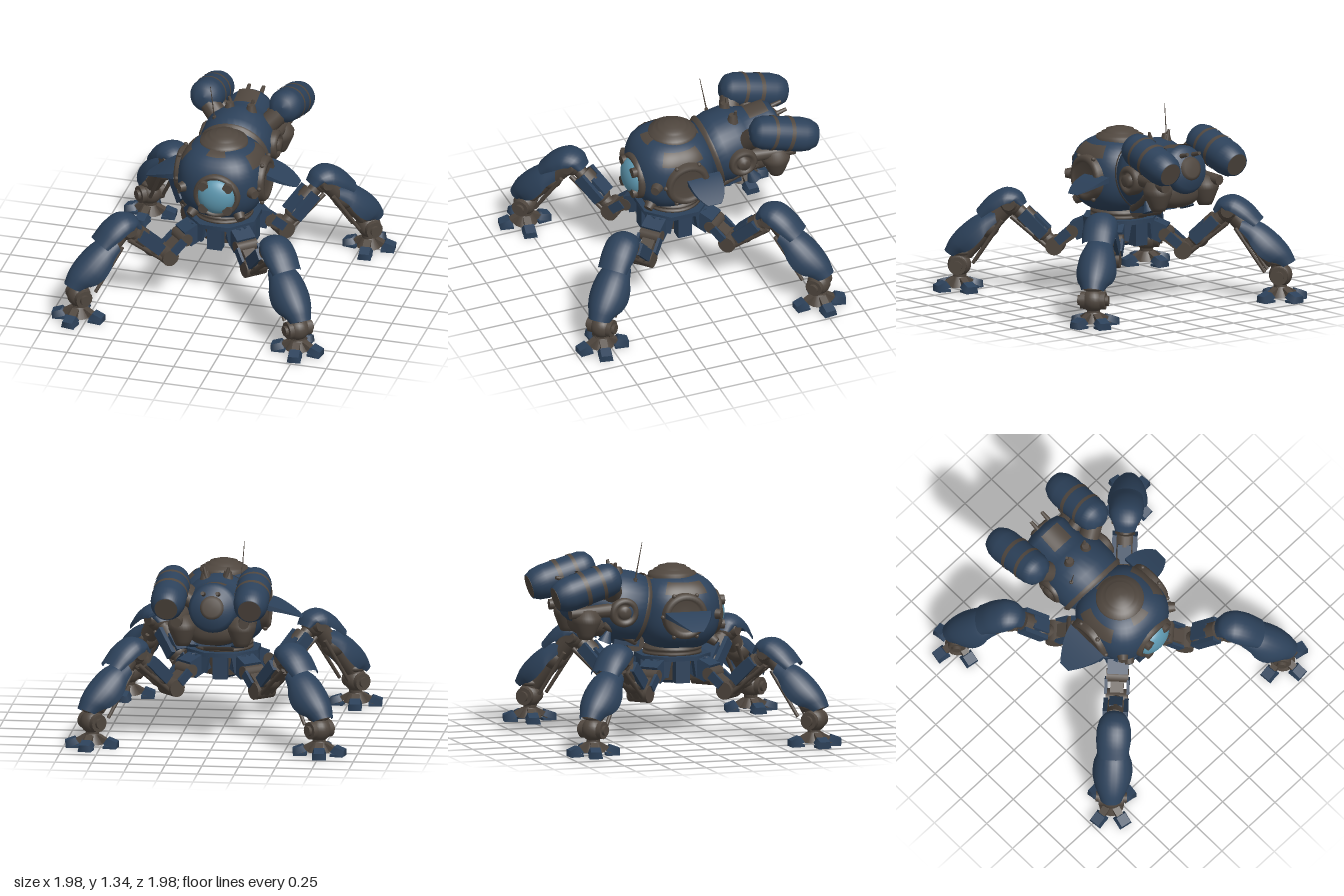
import * as THREE from 'three';

const mat = (name, color) => Object.assign(new THREE.MeshStandardMaterial({ color, side: THREE.DoubleSide }), { name });
const navy = mat('navy armour', 0x2c415a);
const brown = mat('dark bronze', 0x4f463e);
const glass = mat('porthole glass', 0x5c96ae);
const V = (x, y, z) => new THREE.Vector3(x, y, z);
const UP = V(0, 1, 0);

function add(parent, name, geo, material, pos = [0, 0, 0], rot = [0, 0, 0]) {
  const m = new THREE.Mesh(geo, material);
  m.name = name;
  m.position.set(...pos);
  m.rotation.set(...rot);
  parent.add(m);
  return m;
}

// Stands a geometry built along y between two points
function between(parent, name, make, a, b, material) {
  const p = V(...a), q = V(...b), d = q.clone().sub(p);
  const m = add(parent, name, make(d.length()), material, p.clone().add(q).multiplyScalar(0.5).toArray());
  m.quaternion.setFromUnitVectors(UP, d.normalize());
  return m;
}
const rod = (parent, name, a, b, r1, r2, m) =>
  between(parent, name, l => new THREE.CylinderGeometry(r2, r1, l, 16), a, b, m);
const beam = (parent, name, a, b, w, t, m) =>
  between(parent, name, l => new THREE.BoxGeometry(w, l, t), a, b, m);
const ball = (parent, name, p, r, m) => add(parent, name, new THREE.SphereGeometry(r, 20, 14), m, p);
const lathe = pts => new THREE.LatheGeometry(pts.map(p => new THREE.Vector2(...p)), 36);

// Rounded-square sphere, or a patch of it
function hull(sx, sy, sz, ...range) {
  const g = new THREE.SphereGeometry(1, 40, 28, ...range), p = g.attributes.position, e = 2.6;
  for (let i = 0; i < p.count; i++) {
    const x = p.getX(i), y = p.getY(i), z = p.getZ(i);
    const k = Math.pow(Math.abs(x) ** e + Math.abs(y) ** e + Math.abs(z) ** e, -1 / e);
    p.setXYZ(i, x * k * sx, y * k * sy, z * k * sz);
  }
  g.computeVertexNormals();
  return g;
}

// Arched armour plate swept along a spine of [radius, height, halfWidth, depth]
function shell(spine) {
  const N = 14, pos = [], idx = [];
  const curve = new THREE.CatmullRomCurve3(spine.map(s => V(s[0], s[1], 0)));
  const size = new THREE.CatmullRomCurve3(spine.map(s => V(s[2], s[3], 0)));
  for (let i = 0; i <= N; i++) {
    const c = curve.getPoint(i / N), t = curve.getTangent(i / N), s = size.getPoint(i / N);
    for (let j = 0; j <= N; j++) {
      const a = (j / N * 2 - 1) * 1.65, h = s.y * (Math.cos(a) - 1);
      pos.push(c.x - t.y * h, c.y + t.x * h, s.x * Math.sin(a));
      if (i < N && j < N) {
        const k = i * (N + 1) + j;
        idx.push(k, k + 1, k + N + 1, k + 1, k + N + 2, k + N + 1);
      }
    }
  }
  const g = new THREE.BufferGeometry();
  g.setAttribute('position', new THREE.Float32BufferAttribute(pos, 3));
  g.setIndex(idx);
  g.computeVertexNormals();
  return g;
}

// One leg, reaching out along its local x
function makeLeg() {
  const leg = new THREE.Group();
  leg.name = 'leg';
  add(leg, 'hipBlock', new THREE.BoxGeometry(0.14, 0.125, 0.14), navy, [0.245, 0.47, 0], [0, 0, -0.4]);
  rod(leg, 'hipPin', [0.32, 0.44, -0.075], [0.32, 0.44, 0.075], 0.045, 0.045, brown);
  beam(leg, 'hipLink', [0.3, 0.44, 0], [0.44, 0.34, 0], 0.07, 0.09, brown);
  rod(leg, 'kneePin', [0.44, 0.335, -0.075], [0.44, 0.335, 0.075], 0.06, 0.06, brown);
  rod(leg, 'thighCore', [0.46, 0.34, 0], [0.74, 0.61, 0], 0.05, 0.045, brown);
  ball(leg, 'thighMuscle', [0.54, 0.42, 0], 0.07, brown);
  beam(leg, 'thighCover', [0.5, 0.43, 0], [0.6, 0.525, 0], 0.07, 0.09, navy);
  rod(leg, 'thighCuff', [0.61, 0.49, 0], [0.67, 0.545, 0], 0.07, 0.07, brown);
  for (const s of [-1, 1]) {
    beam(leg, 'hipRail', [0.34, 0.44, s * 0.075], [0.42, 0.37, s * 0.075], 0.06, 0.02, navy);
    beam(leg, 'thighRail', [0.51, 0.41, s * 0.07], [0.66, 0.555, s * 0.07], 0.08, 0.03, navy);
    rod(leg, 'thighPiston', [0.47, 0.31, s * 0.04], [0.74, 0.53, s * 0.04], 0.016, 0.016, brown);
    rod(leg, 'shinPiston', [0.8, 0.5, s * 0.06], [1.0, 0.2, s * 0.05], 0.014, 0.012, brown);
    rod(leg, 'shoulderHub', [0.75, 0.62, s * 0.06], [0.75, 0.62, s * 0.095], 0.06, 0.045, brown);
  }
  ball(leg, 'shoulderJoint', [0.75, 0.61, 0], 0.085, brown);
  rod(leg, 'shin', [0.77, 0.6, 0], [1.06, 0.26, 0], 0.065, 0.055, brown);
  ball(leg, 'shinJoint', [0.91, 0.45, 0], 0.085, brown);
  add(leg, 'upperArmour', shell([[0.64, 0.62, 0.07, 0.03], [0.68, 0.69, 0.1, 0.07], [0.78, 0.72, 0.115, 0.09],
    [0.89, 0.665, 0.118, 0.09], [0.98, 0.565, 0.105, 0.06]]), navy);
  add(leg, 'lowerArmour', shell([[0.85, 0.565, 0.09, 0.07], [0.97, 0.53, 0.125, 0.13], [1.08, 0.45, 0.135, 0.15],
    [1.16, 0.36, 0.115, 0.13], [1.2, 0.28, 0.075, 0.07]]), navy);

  // Ankle drum and four splayed toes
  rod(leg, 'ankleNeck', [1.07, 0.3, 0], [1.1, 0.08, 0], 0.045, 0.045, brown);
  ball(leg, 'ankleJoint', [1.1, 0.18, 0], 0.08, brown);
  rod(leg, 'ankleDrum', [1.1, 0.18, -0.085], [1.1, 0.18, 0.085], 0.06, 0.06, brown);
  rod(leg, 'ankleBolt', [1.1, 0.18, -0.105], [1.1, 0.18, 0.105], 0.035, 0.035, brown);
  add(leg, 'ankleCollar', new THREE.TorusGeometry(0.06, 0.02, 10, 24), brown, [1.09, 0.27, 0], [Math.PI / 2, 0, 0]);
  add(leg, 'footHub', new THREE.CylinderGeometry(0.045, 0.085, 0.07, 16), brown, [1.1, 0.065, 0]);
  for (const a of [0.64, -0.64, 2.25, -2.25]) {
    const toe = new THREE.Group();
    toe.name = 'toe';
    toe.position.set(1.1, 0, 0);
    toe.rotation.y = a;
    beam(toe, 'toeLink', [0.04, 0.08, 0], [0.13, 0.03, 0], 0.035, 0.05, brown);
    add(toe, 'toePad', new THREE.BoxGeometry(0.09, 0.016, 0.085), navy, [0.13, 0.012, 0]);
    add(toe, 'toeCap', new THREE.CylinderGeometry(0.05, 0.066, 0.045, 4).rotateY(Math.PI / 4), navy, [0.14, 0.042, 0], [0, 0, -0.35]);
    leg.add(toe);
  }
  return leg;
}

// Swept fin, curving down toward its tip
function fin(side, x0, z0, width, taper, power) {
  const g = new THREE.BoxGeometry(1, 1, 1, 10, 1, 8), p = g.attributes.position;
  for (let i = 0; i < p.count; i++) {
    const u = p.getX(i) + 0.5, w = width * (1 - taper * u ** power);
    p.setXYZ(i, side * (x0 + 0.22 * u), 0.86 - 0.085 * u ** 1.4 + p.getY(i) * 0.035 * (1.1 - u), z0 + p.getZ(i) * w);
  }
  g.computeVertexNormals();
  return g;
}

export function createModel() {
  const root = new THREE.Group();
  root.name = 'walker';

  // Legs
  for (let i = 0; i < 4; i++) {
    const leg = makeLeg();
    leg.rotation.y = -0.825 + i * Math.PI / 2;
    root.add(leg);
  }

  // Hip base with a faced plate on each side
  add(root, 'hipCore', new THREE.CylinderGeometry(0.19, 0.15, 0.16, 24), brown, [0, 0.47, 0]);
  add(root, 'hipDeck', new THREE.CylinderGeometry(0.26, 0.26, 0.03, 8, 1, false, Math.PI / 8), navy, [0, 0.545, 0]);
  add(root, 'hipBelly', new THREE.CylinderGeometry(0.13, 0.08, 0.04, 20), navy, [0, 0.38, 0]);
  for (let i = 0; i < 4; i++) {
    const face = new THREE.Group();
    face.name = 'hipFace';
    face.rotation.y = i * Math.PI / 2;
    add(face, 'hipPlate', new THREE.BoxGeometry(0.1, 0.17, 0.08), navy, [0, 0.465, 0.2]);
    for (const s of [-1, 1]) add(face, 'hipShield', new THREE.BoxGeometry(0.1, 0.11, 0.03), navy, [s * 0.13, 0.48, 0.195], [0, s * 0.35, s * 0.18]);
    root.add(face);
  }
  add(root, 'turretRing', lathe([[0.15, 0.55], [0.2, 0.56], [0.2, 0.575], [0.18, 0.58], [0.2, 0.59], [0.2, 0.605], [0.17, 0.63]]), brown);

  // Main hull and top hatch
  const C = [0, 0.845, 0.02];
  add(root, 'hull', hull(0.295, 0.265, 0.288), navy, C);
  for (const side of [0, 1]) {
    add(root, 'hatchTab', hull(0.298, 0.268, 0.291, side * Math.PI + Math.PI / 2 - 0.35, 0.7, 0.4, 0.27), brown, C);
    add(root, 'sidePatch', hull(0.298, 0.268, 0.291, side * Math.PI - 0.55, 1.1, 0.72, 0.34), brown, C);
  }
  add(root, 'hatch', lathe([[0.165, 1.08], [0.16, 1.108], [0.13, 1.114], [0.125, 1.13], [0.1, 1.13], [0.095, 1.15], [0.055, 1.15], [0.05, 1.163], [0, 1.163]]), brown);

  // Front porthole
  const port = new THREE.Group();
  port.name = 'frontPorthole';
  port.position.set(0.03, 0.825, 0.28);
  port.rotation.y = 0.06;
  add(port, 'portRim', lathe([[0.165, -0.04], [0.16, 0.015], [0.15, 0.035], [0.13, 0.035], [0.125, 0.015]]), brown, [0, 0, 0], [Math.PI / 2, 0, 0]);
  add(port, 'portGlass', new THREE.SphereGeometry(0.13, 24, 12, 0, Math.PI * 2, 0, Math.PI / 2).scale(1, 0.6, 1), glass, [0, 0, 0.012], [Math.PI / 2, 0, 0]);
  for (let i = 0; i < 4; i++) {
    const a = Math.PI / 4 + i * Math.PI / 2;
    add(port, 'portClamp', new THREE.CylinderGeometry(0.034, 0.034, 0.06, 16), brown, [Math.cos(a) * 0.117, Math.sin(a) * 0.117, 0.035], [Math.PI / 2, 0, 0]);
  }
  root.add(port);
  for (const [x, y, z] of [[-0.14, 0.67, 0.22], [0.16, 0.675, 0.21], [-0.2, 0.84, 0.23], [0.24, 0.84, 0.2]]) {
    const dir = V(x, y - 0.845, z).normalize().multiplyScalar(0.06);
    rod(root, 'hullKnob', [x, y, z], [x + dir.x, y + dir.y, z + dir.z], 0.042, 0.03, brown);
  }

  // Side portholes and fins
  for (const s of [-1, 1]) {
    add(root, 'sidePorthole', lathe([[0.16, -0.05], [0.155, 0.015], [0.14, 0.03], [0.115, 0.03], [0.105, 0.01], [0, 0.015]]),
      brown, [s * 0.285, 0.845, 0], [0, 0, -s * Math.PI / 2]);
    for (let i = 0; i < 6; i++) {
      const a = i * Math.PI / 3;
      add(root, 'portBolt', new THREE.SphereGeometry(0.016, 8, 6), brown, [s * 0.29, 0.845 + Math.sin(a) * 0.16, Math.cos(a) * 0.16]);
    }
  }
  add(root, 'rightFin', fin(-1, 0.315, 0.01, 0.32, 0.75, 1.6), navy);
  add(root, 'leftFin', fin(1, 0.275, -0.115, 0.24, 0.6, 3), navy);

  // Rear engine barrel, rising toward the back
  const pack = new THREE.Group();
  pack.name = 'enginePack';
  pack.position.set(-0.01, 0.85, -0.2);
  pack.quaternion.setFromUnitVectors(UP, V(0, 0.25, -1).normalize());
  add(pack, 'engineBarrel', lathe([[0.18, 0], [0.235, 0.06], [0.25, 0.14], [0.245, 0.25], [0.205, 0.33], [0.175, 0.4], [0.165, 0.52], [0.14, 0.565], [0.07, 0.585]]), navy);
  add(pack, 'engineBand', lathe([[0.235, 0.04], [0.25, 0.06], [0.25, 0.075]]), brown);
  add(pack, 'engineCap', lathe([[0.08, 0.57], [0.08, 0.59], [0.06, 0.6], [0, 0.6]]), brown);
  add(pack, 'enginePatch', new THREE.CylinderGeometry(0.171, 0.181, 0.14, 12, 1, true, -0.45, 0.9), brown, [0, 0.46, 0]);
  root.add(pack);
  add(root, 'engineUnderside', hull(0.18, 0.12, 0.15), brown, [0, 0.82, -0.58]);
  rod(root, 'engineSump', [-0.1, 0.65, -0.29], [0.1, 0.65, -0.29], 0.06, 0.06, brown);
  add(root, 'engineKeel', new THREE.BoxGeometry(0.26, 0.1, 0.18), navy, [0, 0.69, -0.36], [0.15, 0, 0]);

  for (const s of [-1, 1]) {
    // Side discs, arms and nozzles
    add(root, 'sideDisc', lathe([[0.1, -0.06], [0.1, 0.02], [0.085, 0.035], [0.065, 0.035], [0.06, 0.02], [0.045, 0.02], [0.04, 0.05], [0, 0.05]]),
      brown, [s * 0.235, 0.885, -0.42], [0, 0, -s * Math.PI / 2]);
    rod(root, 'nozzleArm', [s * 0.2, 0.9, -0.48], [s * 0.23, 0.89, -0.8], 0.05, 0.035, brown);
    add(root, 'nozzle', lathe([[0, 0], [0.045, 0], [0.06, 0.03], [0.095, 0.11], [0.1, 0.15], [0.07, 0.2], [0, 0.21]]), brown, [s * 0.2, 0.71, -0.68], [0.05, 0, 0]);
    add(root, 'nozzleShield', new THREE.ConeGeometry(0.05, 0.12, 12), navy, [s * 0.16, 0.73, -0.51], [0.4, 0, 0]);
    rod(root, 'hose', [s * 0.12, 0.66, -0.3], [s * 0.18, 0.8, -0.55], 0.025, 0.025, brown);

    // Tilted tanks with bands
    const tank = new THREE.Group();
    tank.name = 'tank';
    tank.position.set(s * 0.275, 1.145, -0.465);
    tank.quaternion.setFromUnitVectors(UP, V(s * 0.02, -0.3, -1).normalize());
    add(tank, 'tankBody', lathe([[0, 0], [0.06, 0.008], [0.1, 0.04], [0.115, 0.09], [0.118, 0.37], [0.108, 0.43], [0.085, 0.475], [0.072, 0.475]]), navy);
    add(tank, 'tankBand', new THREE.CylinderGeometry(0.121, 0.121, 0.03, 32, 1, true), brown, [0, 0.27, 0]);
    add(tank, 'tankStrap', new THREE.CylinderGeometry(0.12, 0.119, 0.025, 32, 1, true), brown, [0, 0.15, 0]);
    add(tank, 'tankEnd', new THREE.CylinderGeometry(0.078, 0.078, 0.02, 24), brown, [0, 0.467, 0]);
    root.add(tank);
    rod(root, 'tankMount', [s * 0.12, 0.98, -0.6], [s * 0.26, 1.07, -0.62], 0.05, 0.05, brown);
    rod(root, 'tankCollar', [s * 0.17, 1.0, -0.48], [s * 0.25, 1.08, -0.52], 0.07, 0.07, brown);

    // Top valves and horns
    add(root, 'topValve', new THREE.CylinderGeometry(0.025, 0.04, 0.06, 14), brown, [s * 0.075, 1.14, -0.41]);
    rod(root, 'horn', [s * 0.065, 1.12, -0.43], [s * 0.085, 1.2, -0.43], 0.018, 0.009, brown);
    rod(root, 'rearStud', [s * 0.05, 1.08, -0.74], [s * 0.05, 1.1, -0.81], 0.016, 0.012, brown);
  }

  // Antenna
  rod(root, 'antennaBase', [-0.15, 1.02, -0.32], [-0.155, 1.1, -0.31], 0.018, 0.012, brown);
  rod(root, 'antenna', [-0.155, 1.08, -0.315], [-0.172, 1.345, -0.27], 0.005, 0.002, brown);
  return root;
}
